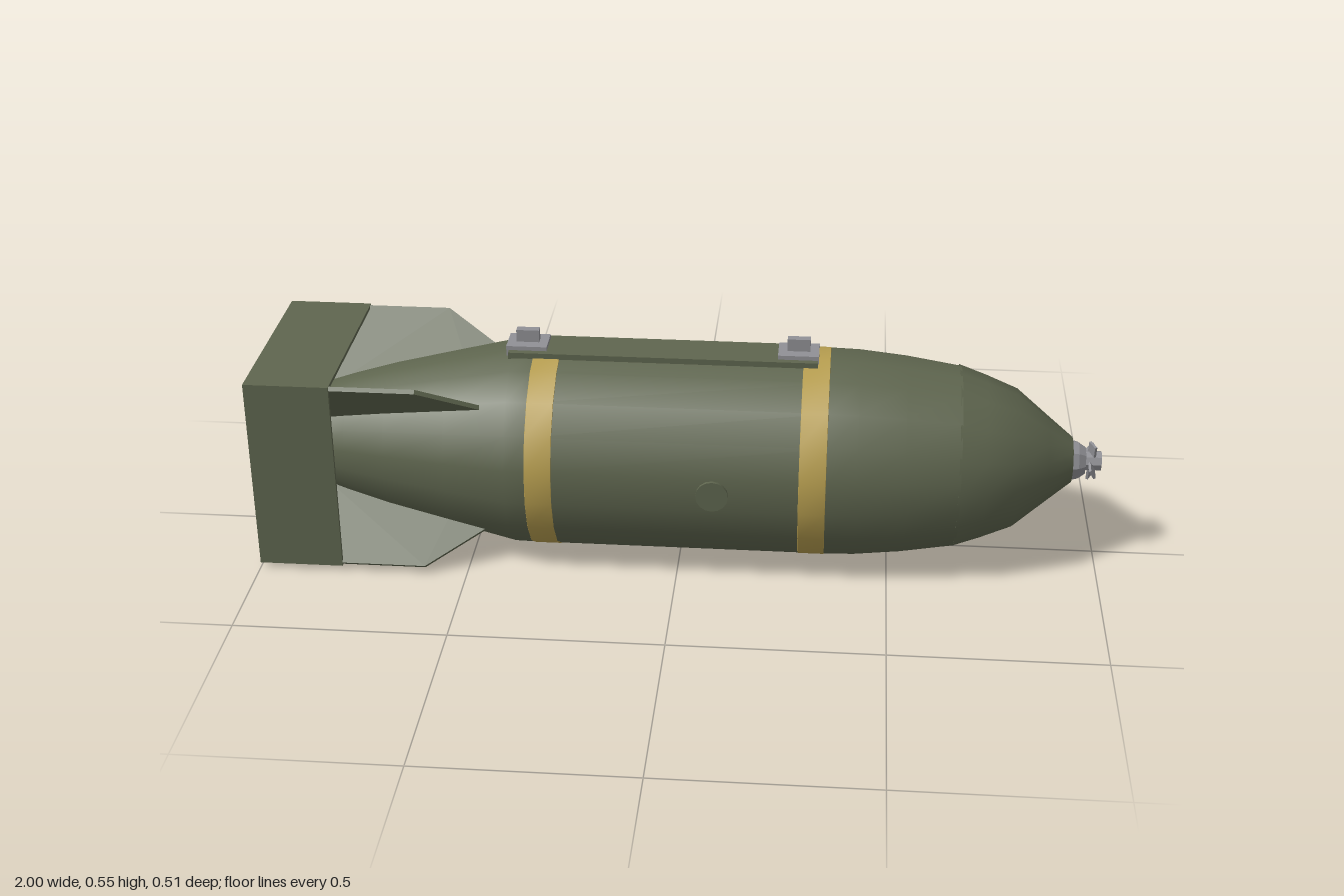
import * as THREE from 'three';
import { toCreasedNormals } from 'three/addons/utils/BufferGeometryUtils.js';

const AXIS_Y = 0.252;
const green = new THREE.MeshStandardMaterial({ color: 0x5f664f, side: THREE.DoubleSide });
const yellow = new THREE.MeshStandardMaterial({ color: 0xb89f50 });
const metal = new THREE.MeshStandardMaterial({ color: 0x919196 });

export function createModel() {
  const model = new THREE.Group();
  const shell = new THREE.Group(); // everything arranged around the long axis
  shell.name = 'shell';
  shell.position.y = AXIS_Y;
  model.add(shell);

  function add(name, geometry, material, parent = shell) {
    const mesh = new THREE.Mesh(geometry, material);
    mesh.name = name;
    parent.add(mesh);
    return mesh;
  }
  function box(name, size, pos, material, parent = shell) {
    const mesh = add(name, new THREE.BoxGeometry(...size), material, parent);
    mesh.position.set(...pos);
    return mesh;
  }
  // Turned part about the x axis; profile is [x, radius] from tail to nose
  function turned(name, profile, sides, material, crease = 0.6) {
    const points = profile.map(([x, r]) => new THREE.Vector2(r, x));
    const geometry = new THREE.LatheGeometry(points, sides, Math.PI).rotateZ(-Math.PI / 2);
    return add(name, toCreasedNormals(geometry, crease), material);
  }

  // Casing, with an open recess at the tail
  turned('casing', [
    [-0.8, 0], [-0.8, 0.1], [-0.87, 0.11], [-0.87, 0.126], [-0.8, 0.149], [-0.7, 0.178],
    [-0.55, 0.214], [-0.4, 0.249], [-0.35, 0.25], [0.35, 0.25], [0.42, 0.248],
    [0.53, 0.237], [0.66, 0.217], [0.66, 0.19],
  ], 19, green);
  turned('tailPlug', [[-0.8, 0.045], [-0.84, 0.045], [-0.84, 0]].reverse(), 8, metal, 0.3);

  // Nose cap
  turned('noseCap', [[0.655, 0.19], [0.655, 0.219], [0.72, 0.196], [0.795, 0.166],
    [0.87, 0.104], [0.93, 0.055], [0.93, 0]], 16, green);

  // Painted bands
  for (const x of [-0.32, 0.318]) {
    turned('band', [[x - 0.032, 0.249], [x - 0.031, 0.2512], [x + 0.031, 0.2512], [x + 0.032, 0.249]], 19, yellow);
  }

  // Round side plugs
  for (const side of [-1, 1]) {
    const plug = add('sidePlug', toCreasedNormals(
      new THREE.CylinderGeometry(0.038, 0.038, 0.02, 16).rotateX(Math.PI / 2), 0.6), green);
    plug.position.set(0.087, 0, side * 0.244);
  }

  // Top strip and hanging lugs
  box('topStrip', [0.73, 0.025, 0.104], [-0.045, 0.2425, 0], green);
  for (const x of [-0.368, 0.274]) {
    box('lugPlate', [0.096, 0.03, 0.074], [x, 0.25, 0], metal);
    box('lug', [0.054, 0.034, 0.02], [x, 0.278, 0], metal);
  }

  // Nose fuze with a small four-bladed vane
  turned('fuze', [[0.915, 0], [0.915, 0.04], [0.93, 0.05], [0.945, 0.046], [0.962, 0.034],
    [0.962, 0.024], [1, 0.024], [1, 0]], 8, metal, 0.3);
  const vane = new THREE.Group();
  vane.name = 'fuzeVane';
  vane.position.x = 0.977;
  shell.add(vane);
  for (let i = 0; i < 4; i++) {
    const arm = new THREE.Group();
    arm.name = 'vaneArm';
    arm.rotation.x = 0.26 + i * Math.PI / 2;
    vane.add(arm);
    box('vaneBlade', [0.006, 0.032, 0.026], [0, 0.035, 0], metal, arm).rotation.y = 0.5;
  }

  // Diagonal tail fins
  const T = 0.011;
  const outline = [[-0.995, 0.33], [-0.6, 0.33], [-0.46, 0.23], [-0.55, 0.2], [-0.8, 0.135], [-0.868, 0.118]];
  const finShape = new THREE.Shape(outline.map(([x, r]) => new THREE.Vector2(x, r)));
  const finGeometry = new THREE.ExtrudeGeometry(finShape, { depth: T, bevelEnabled: false })
    .translate(0, 0, -T / 2);
  for (let i = 0; i < 4; i++) {
    add('tailFin', finGeometry, green).rotation.x = Math.PI / 4 + i * Math.PI / 2;
  }

  // Square box tail, open front and back
  const half = 0.238, wall = 0.009, inner = half - wall;
  const square = (s) => [[-s, -s], [s, -s], [s, s], [-s, s]].map(([a, b]) => new THREE.Vector2(a, b));
  const frame = new THREE.Shape(square(half));
  frame.holes.push(new THREE.Path(square(inner).reverse()));
  const frameGeometry = new THREE.ExtrudeGeometry(frame, { depth: 0.2, bevelEnabled: false })
    .rotateY(Math.PI / 2);
  add('boxTail', frameGeometry, green).position.x = -1;

  return model;
}
